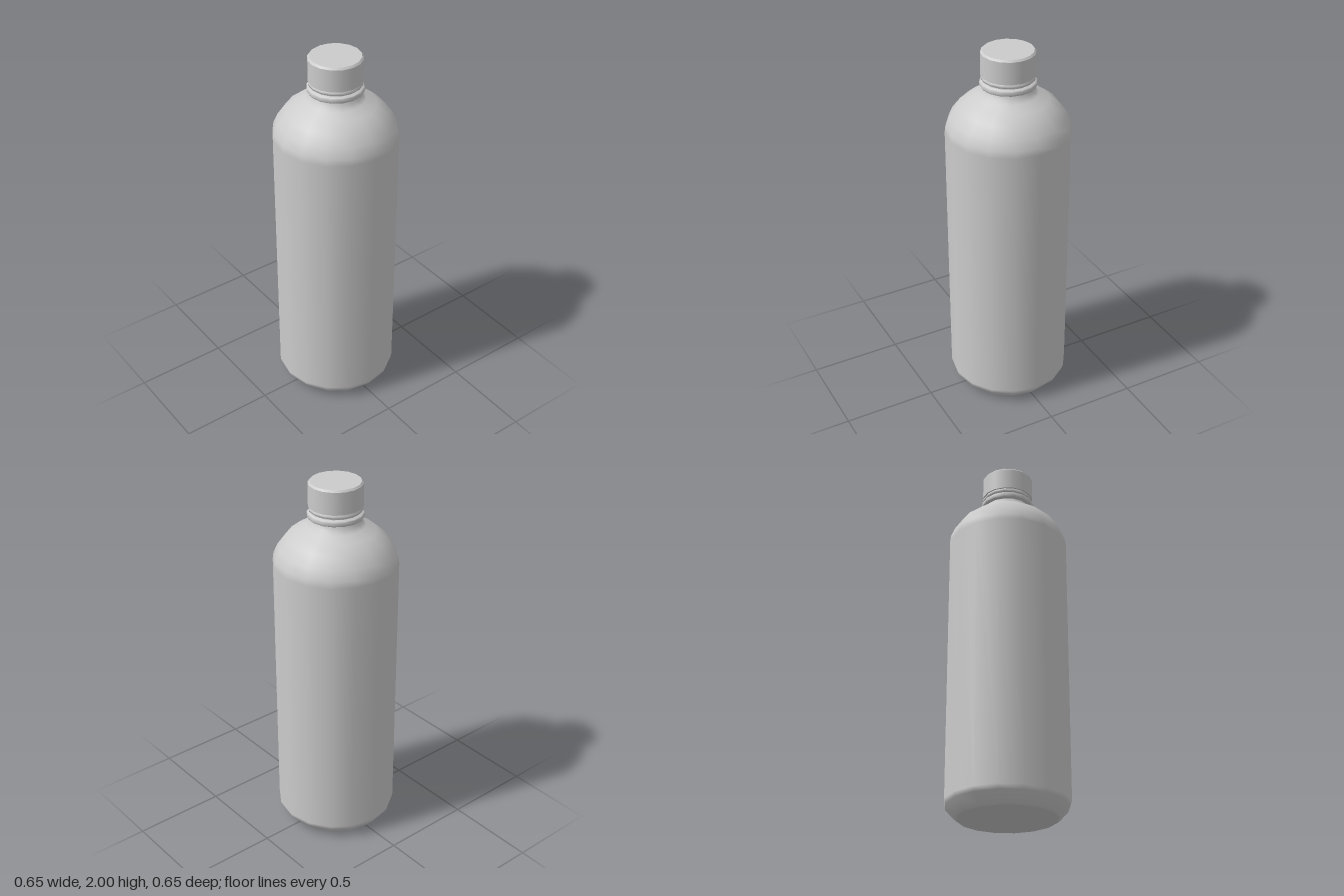
import * as THREE from 'three';

const SIDES = 16;
const material = new THREE.MeshStandardMaterial({ color: 0xcccccc });

// Turned part from [radius, height] pairs, listed bottom to top
function turned(name, profile) {
  const points = profile.map(([r, y]) => new THREE.Vector2(r, y));
  const mesh = new THREE.Mesh(new THREE.LatheGeometry(points, SIDES), material);
  mesh.name = name;
  return mesh;
}

// Flat disc facing up or down, its corners aligned with the turned parts
function disc(name, radius, y, up) {
  const mesh = new THREE.Mesh(new THREE.CircleGeometry(radius, SIDES), material);
  mesh.rotation.x = up ? -Math.PI / 2 : Math.PI / 2;
  mesh.position.y = y;
  mesh.name = name;
  return mesh;
}

export function createModel() {
  const bottle = new THREE.Group();
  bottle.name = 'bottle';

  // Base, chamfer, straight wall and domed shoulder
  bottle.add(disc('base', 0.262, 0, false));
  bottle.add(turned('body', [
    [0.262, 0], [0.275, 0.01], [0.32, 0.06], [0.327, 0.085],
    [0.327, 1.56], [0.322, 1.595], [0.3, 1.645], [0.257, 1.7],
    [0.21, 1.737], [0.155, 1.767], [0.137, 1.785], [0.13, 1.805],
  ]));

  // Neck with its support ring and the seal band under the cap
  bottle.add(turned('neckRing', [
    [0.13, 1.805], [0.143, 1.81], [0.147, 1.817], [0.147, 1.831], [0.143, 1.837], [0.13, 1.842],
  ]));
  bottle.add(turned('neck', [[0.13, 1.842], [0.13, 1.848]]));
  bottle.add(turned('sealBand', [
    [0.13, 1.848], [0.139, 1.85], [0.139, 1.862], [0.133, 1.866], [0.133, 1.872],
  ]));

  // Screw cap
  const cap = new THREE.Group();
  cap.name = 'cap';
  cap.add(turned('capUnderside', [[0.128, 1.87], [0.141, 1.87]]));
  cap.add(turned('capWall', [[0.141, 1.87], [0.141, 1.99]]));
  cap.add(turned('capBevel', [[0.141, 1.99], [0.132, 2]]));
  cap.add(disc('capTop', 0.132, 2, true));
  bottle.add(cap);

  return bottle;
}
